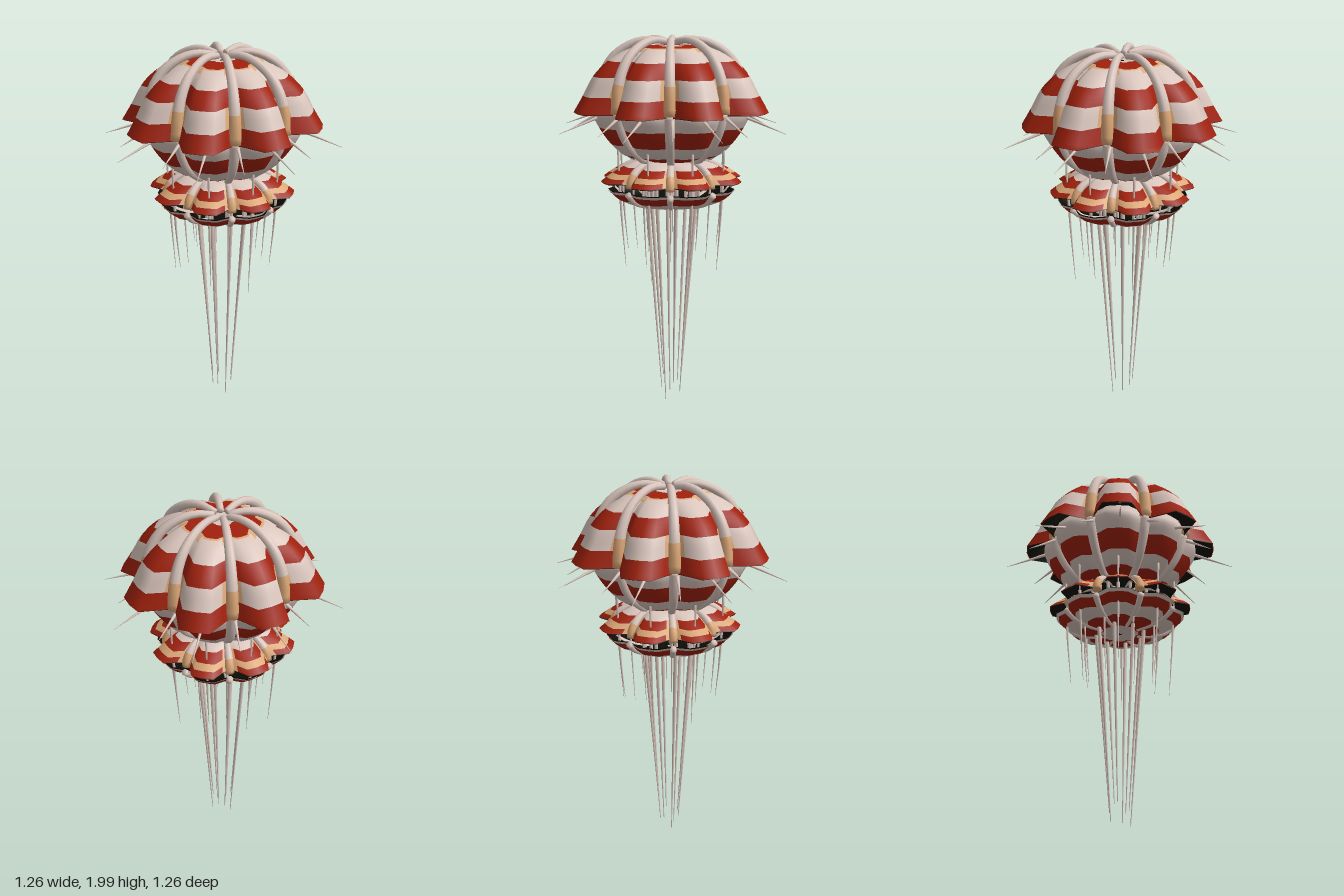
import * as THREE from 'three';

const mat = (name, color) =>
  Object.assign(new THREE.MeshStandardMaterial({ color, side: THREE.DoubleSide }), { name });
const TURN = THREE.MathUtils.degToRad(4);
const STEP = Math.PI / 4;

// Cross-section of one lobe: angle from its middle (degrees), depth of the fold (0 middle, 1 seam)
const LOBE = [[-22.5, 1], [-15.5, 0.62], [-8.5, 0], [0, -0.02], [8.5, 0], [15.5, 0.62], [22.5, 1]];

const curve = (pts) => new THREE.CatmullRomCurve3(pts.map(([r, y]) => new THREE.Vector3(r, y, 0)));

// Eight-lobed shell; profile points run downwards and bound the colour bands.
// Each band has two groups: the lobe middle and its flanks next to the seams.
function bellGeometry(profile, foldTop, foldEnd, inset) {
  const path = curve(profile), SUB = 4, bands = profile.length - 1;
  const rows = bands * SUB + 1, cols = LOBE.length;
  const pos = [], index = [], geo = new THREE.BufferGeometry();
  const rMax = profile.reduce((m, p) => Math.max(m, p[0]), 0);
  for (let k = 0; k < 8; k++) {
    for (let i = 0; i < rows; i++) {
      const t = i / (rows - 1), p = path.getPoint(t), d = path.getTangent(t);
      const fold = THREE.MathUtils.lerp(foldTop, foldEnd, p.x / rMax);
      for (const [deg, f] of LOBE) {
        const a = TURN + k * STEP + THREE.MathUtils.degToRad(deg);
        const r = Math.max(0.002, (p.x + d.y * inset) * (1 - fold * f));
        pos.push(r * Math.cos(a), p.y - d.x * inset, r * Math.sin(a));
      }
    }
  }
  for (let g = 0; g < bands * 2; g++) {
    const b = g >> 1, start = index.length;
    const columns = g % 2 ? [0, cols - 2] : [1, 2, 3, 4];
    for (let k = 0; k < 8; k++)
      for (let i = b * SUB; i < (b + 1) * SUB; i++)
        for (const j of columns) {
          const a = (k * rows + i) * cols + j, c = a + cols;
          if (inset) index.push(a, c, a + 1, a + 1, c, c + 1);
          else index.push(a, a + 1, c, a + 1, c + 1, c);
        }
    geo.addGroup(start, index.length - start, g);
  }
  geo.setAttribute('position', new THREE.Float32BufferAttribute(pos, 3));
  geo.setIndex(index);
  geo.computeVertexNormals();
  return geo;
}

// Tapered, capped rod in the radial plane; the part after tipFrom is a second group
function armGeometry(pts, r0, r1, segs, sides, tipFrom = 1) {
  const path = curve(pts), pos = [], index = [], geo = new THREE.BufferGeometry();
  const rings = segs + 3;
  for (let i = 0; i < rings; i++) {
    const t = THREE.MathUtils.clamp((i - 1) / segs, 0, 1);
    const p = path.getPointAt(t), d = path.getTangentAt(t);
    const r = i === 0 || i === rings - 1 ? 0 : THREE.MathUtils.lerp(r0, r1, t);
    for (let j = 0; j < sides; j++) {
      const a = (j + 0.5) / sides * Math.PI * 2, c = Math.cos(a) * r;
      pos.push(p.x - d.y * c, p.y + d.x * c, Math.sin(a) * r);
    }
  }
  let split = 0;
  for (let i = 0; i < rings - 1; i++) {
    if ((i - 1) / segs < tipFrom - 1e-6) split = index.length + sides * 6;
    for (let j = 0; j < sides; j++) {
      const a = i * sides + j, b = i * sides + (j + 1) % sides;
      index.push(a, b, a + sides, b, b + sides, a + sides);
    }
  }
  geo.addGroup(0, split, 0);
  geo.addGroup(split, index.length - split, 1);
  geo.setAttribute('position', new THREE.Float32BufferAttribute(pos, 3));
  geo.setIndex(index);
  geo.computeVertexNormals();
  return geo;
}

export function createModel() {
  const model = new THREE.Group();
  const white = mat('pale pink', 0xdac6bd), red = mat('brick red', 0xa0210d);
  const tan = mat('tan', 0xdca878), dark = mat('dark lining', 0x0c0d06);

  // Striped shell with a dark lining just inside it; flanks lists bands with tan sides
  const bell = (name, profile, foldTop, foldEnd, colours, flanks = []) => {
    const mats = colours.flatMap((c, i) => [c, flanks.includes(i) ? tan : c]);
    const shell = new THREE.Mesh(bellGeometry(profile, foldTop, foldEnd, 0), mats);
    const lining = new THREE.Mesh(bellGeometry(profile, foldTop, foldEnd, 0.006), mats.map(() => dark));
    shell.name = name;
    lining.name = name + 'Lining';
    model.add(shell, lining);
  };

  // Rods repeated around the axis; shape(k) gives the geometry of rod k
  const ring = (name, count, offset, shape, tip = white) => {
    const group = new THREE.Group();
    group.name = name;
    for (let k = 0; k < count; k++) {
      const m = new THREE.Mesh(shape(k), [white, tip]);
      m.name = name + (k + 1);
      m.rotation.y = -(TURN + offset + k / count * Math.PI * 2);
      group.add(m);
    }
    model.add(group);
  };
  const ribs = (name, pts, r0, r1, tipFrom) =>
    ring(name, 8, STEP / 2, () => armGeometry(pts, r0, r1, 16, 8, tipFrom), tan);

  // Four striped shells, top to bottom
  bell('upperBell', [[0.01, 1.935], [0.07, 1.942], [0.198, 1.938], [0.212, 1.935], [0.26, 1.918],
    [0.34, 1.87], [0.42, 1.79], [0.475, 1.69], [0.525, 1.605]], 0.1, 0.275,
  [white, red, tan, white, white, red, white, red], [3, 6]);
  bell('middleBell', [[0.4, 1.66], [0.425, 1.6], [0.393, 1.525], [0.33, 1.435], [0.265, 1.375],
    [0.17, 1.345]], 0.12, 0.12, [white, white, red, white, red]);
  bell('saucer', [[0.06, 1.34], [0.2, 1.335], [0.26, 1.313], [0.32, 1.281], [0.355, 1.258],
    [0.385, 1.235]], 0.1, 0.24, [white, white, red, tan, red], [2, 3, 4]);
  bell('bowl', [[0.35, 1.19], [0.335, 1.175], [0.29, 1.135], [0.21, 1.105], [0.1, 1.09],
    [0.01, 1.087]], 0.1, 0.12, [white, red, white, red, white]);

  // Ribs over the seams
  ribs('upperRib', [[0.04, 1.966], [0.12, 1.977], [0.2, 1.96], [0.295, 1.9], [0.35, 1.82],
    [0.378, 1.73], [0.385, 1.61]], 0.017, 0.034, 0.75);
  ribs('middleRib', [[0.375, 1.62], [0.355, 1.53], [0.295, 1.43], [0.19, 1.345]], 0.03, 0.02, 1);
  ribs('saucerRib', [[0.08, 1.342], [0.18, 1.335], [0.26, 1.295], [0.292, 1.25], [0.295, 1.215]],
    0.01, 0.026, 0.7);
  ribs('bowlRib', [[0.315, 1.185], [0.26, 1.135], [0.19, 1.108], [0.1, 1.092]], 0.018, 0.01, 1);

  // Spikes under the upper hem, longer below the lobes
  ring('hemSpike', 16, -0.035, (k) =>
    armGeometry([[0.37, 1.6], [k % 2 ? 0.535 : 0.632, 1.505]], 0.011, 0.001, 2, 6));
  // Rods between the middle bell and the saucer
  ring('linkRod', 8, 0, () => armGeometry([[0.3, 1.41], [0.3, 1.34], [0.295, 1.25]], 0.007, 0.004, 4, 6));
  ring('neckRod', 8, STEP / 2, () => armGeometry([[0.17, 1.36], [0.15, 1.3], [0.14, 1.1]], 0.01, 0.008, 3, 6));
  // Hanging tentacles
  ring('outerTentacle', 8, 0, (k) =>
    armGeometry([[0.295, 1.25], [0.285, 1.05], [0.262, 0.72 + (k * 3 % 8) * 0.018]], 0.009, 0.001, 5, 6));
  ring('innerTentacle', 8, STEP / 2, (k) =>
    armGeometry([[0.21, 1.25], [0.2, 1.05], [0.185, 0.77 + (k * 5 % 8) * 0.016]], 0.008, 0.001, 5, 6));
  ring('longTentacle', 8, STEP / 4, (k) =>
    armGeometry([[0.15, 1.3], [0.125, 1.0], [0.055, (k * 3 % 8) * 0.02]], 0.013, 0.002, 8, 6));

  return model;
}
